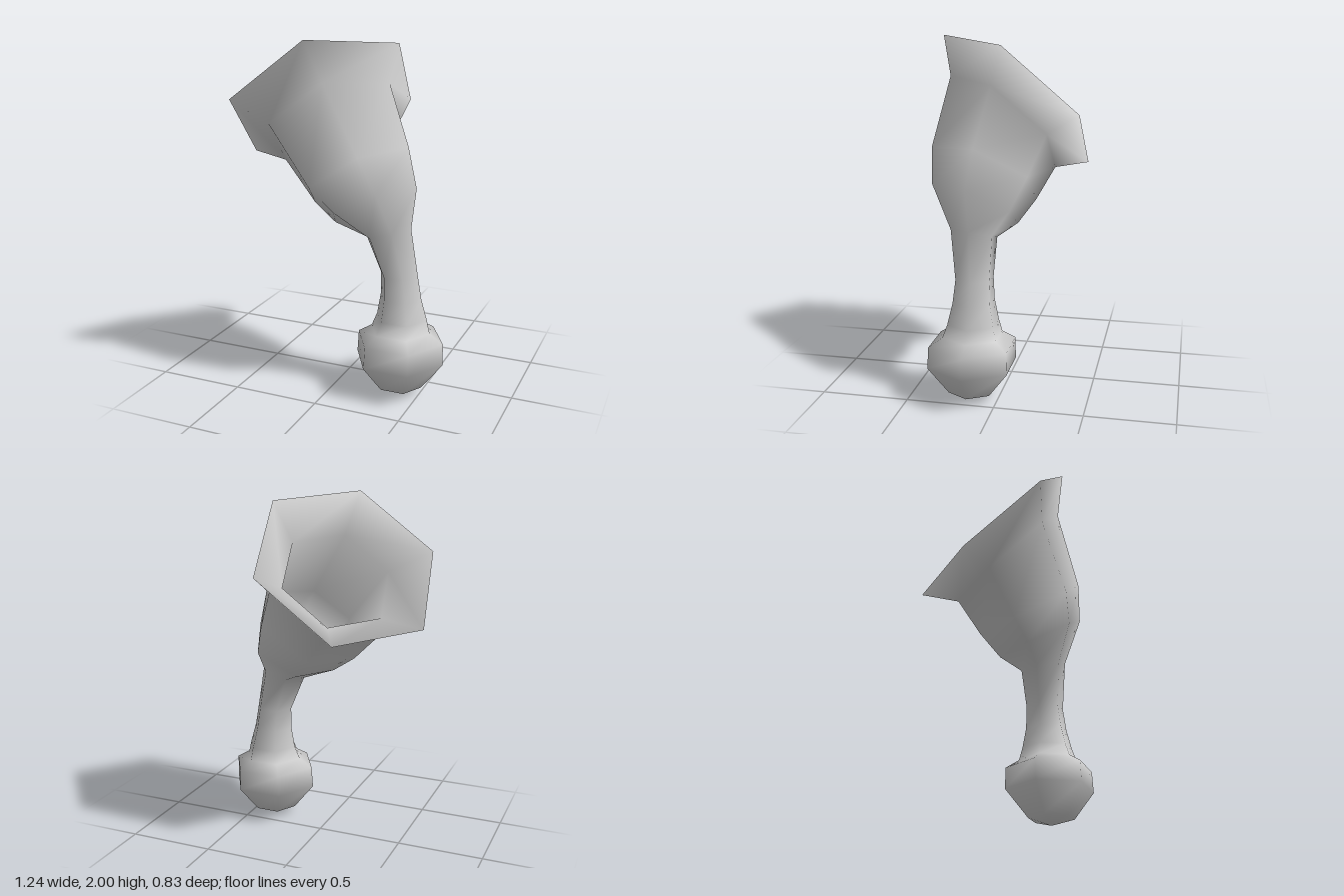
import * as THREE from 'three';
import { mergeVertices } from 'three/addons/utils/BufferGeometryUtils.js';

const SIDES = 6;

// Hexagonal cross-sections from the knob's base, up the outside, over the rim, down the inside:
// [centre, radius, normal of the section]
const UP = [0, 1, 0];
const RIM = [-0.51, 0.69, -0.52];
const MID = [-0.53, 0.81, -0.28];
const LOW = [-0.43, 0.85, -0.29];
const RINGS = [
  // knob
  [[0.375, 0, 0.155], 0, UP],
  [[0.375, 0.04, 0.155], 0.135, UP],
  [[0.372, 0.2, 0.15], 0.26, UP],
  [[0.375, 0.325, 0.148], 0.255, UP],
  [[0.375, 0.375, 0.146], 0.175, UP],
  // stem
  [[0.38, 0.45, 0.14], 0.15, UP],
  [[0.372, 0.57, 0.138], 0.122, UP],
  [[0.36, 0.7, 0.135], 0.11, UP],
  [[0.3, 0.94, 0.15], 0.136, [-0.28, 0.95, -0.1]],
  // bell
  [[0.22, 1.09, 0.16], 0.27, LOW],
  [[0.12, 1.245, 0.13], 0.335, MID],
  [[-0.06, 1.515, 0.06], 0.4, RIM],
  [[-0.16, 1.635, 0], 0.56, RIM],
  // hollow
  [[-0.08, 1.535, 0.045], 0.335, RIM],
  [[0.11, 1.265, 0.125], 0.275, MID],
  [[0.2, 1.12, 0.15], 0.2, LOW],
  [[0.24, 1.05, 0.15], 0, LOW],
];

// First and last ring of each named part
const PARTS = { knob: [0, 4], stem: [4, 8], bell: [8, 12], hollow: [12, 16] };

function ringPoints([centre, radius, normal]) {
  const n = new THREE.Vector3(...normal).normalize();
  const u = new THREE.Vector3(n.y, -n.x, 0).normalize();
  const v = u.clone().cross(n);
  return Array.from({ length: SIDES }, (_, j) => {
    const a = (j / SIDES) * Math.PI * 2;
    return new THREE.Vector3(...centre)
      .addScaledVector(u, radius * Math.cos(a))
      .addScaledVector(v, radius * Math.sin(a));
  });
}

// Skin the cross-sections with one shared set of smooth normals
function loft() {
  const geometry = new THREE.BufferGeometry().setFromPoints(RINGS.flatMap(ringPoints));
  const index = [];
  for (let i = 0; i < RINGS.length - 1; i++) {
    for (let j = 0; j < SIDES; j++) {
      const k = (j + 1) % SIDES;
      const a = i * SIDES + j, b = i * SIDES + k;
      const c = a + SIDES, d = b + SIDES;
      index.push(a, c, b, b, c, d);
    }
  }
  geometry.setIndex(index);
  const merged = mergeVertices(geometry);
  merged.computeVertexNormals();
  return merged;
}

export function createModel() {
  const group = new THREE.Group();
  group.name = 'bellOnStem';
  const material = new THREE.MeshStandardMaterial({ color: 0xcccccc });
  const skin = loft();
  const index = Array.from(skin.index.array);
  const perRing = SIDES * 6;

  // Cut the skin into its parts, keeping the normals continuous across the seams
  for (const [name, [first, last]] of Object.entries(PARTS)) {
    const geometry = new THREE.BufferGeometry();
    geometry.setAttribute('position', skin.attributes.position);
    geometry.setAttribute('normal', skin.attributes.normal);
    geometry.setIndex(index.slice(first * perRing, last * perRing));
    const mesh = new THREE.Mesh(geometry, material);
    mesh.name = name;
    group.add(mesh);
  }
  return group;
}
